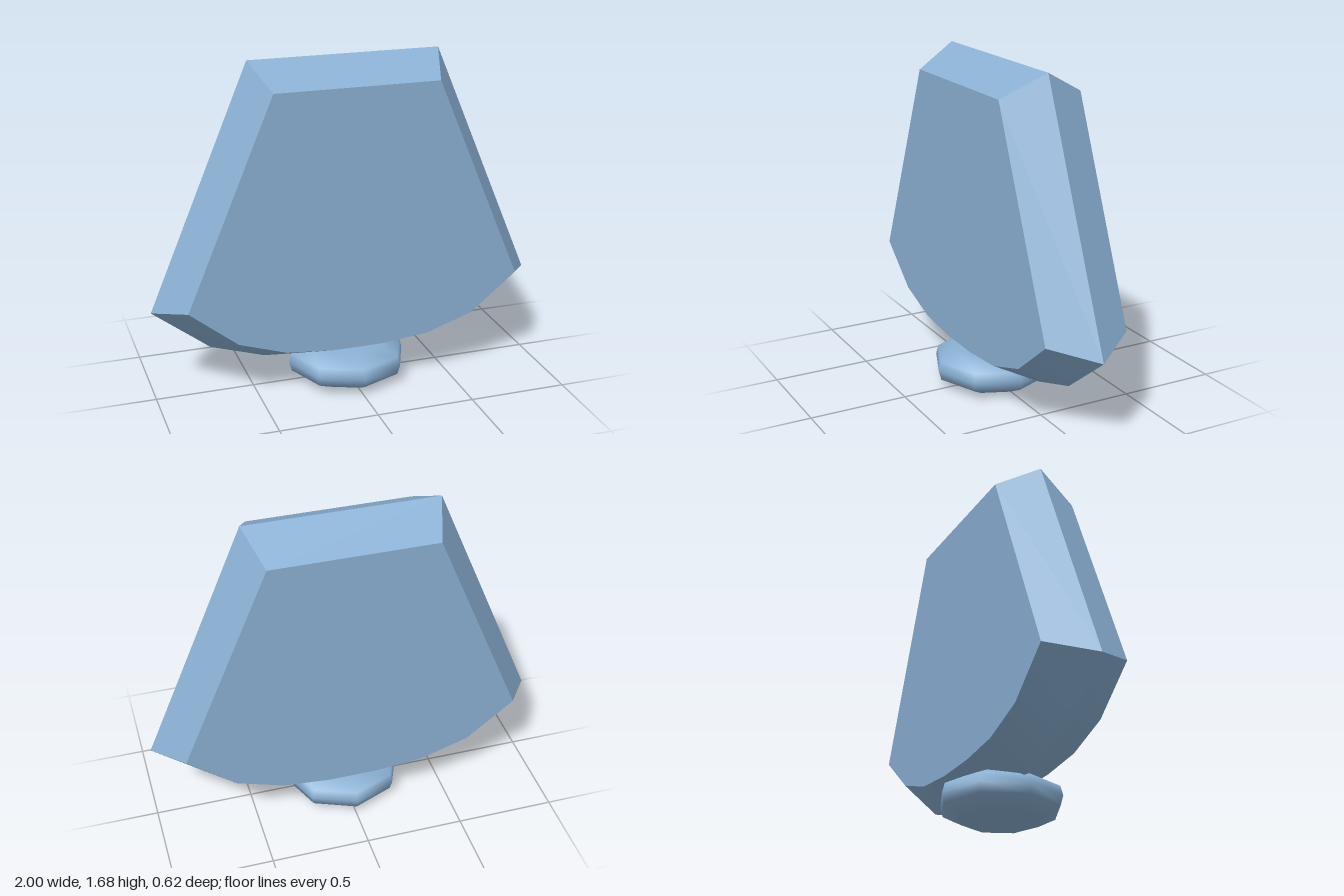
import * as THREE from 'three';
import { toCreasedNormals } from 'three/addons/utils/BufferGeometryUtils.js';

// Right half of an outline, top to bottom, mirrored into a full clockwise loop.
const mirrored = (half) => [...half, ...[...half].reverse().map(([x, y]) => [-x, y])];

const RIM = mirrored([[0.485, 1.685], [1, 0.46], [0.71, 0.235], [0.43, 0.145], [0.14, 0.128]]);
const FACE = mirrored([[0.415, 1.57], [0.855, 0.525], [0.613, 0.33], [0.37, 0.25], [0.122, 0.227]]);

// Skin neighbouring rings together and close both ends with fans.
function loft(rings) {
  const n = rings[0].length;
  const positions = [];
  const tri = (a, b, c) => positions.push(...a, ...b, ...c);
  for (let r = 0; r < rings.length - 1; r++) {
    const [p, q] = [rings[r], rings[r + 1]];
    for (let i = 0; i < n; i++) {
      const j = (i + 1) % n;
      tri(p[i], p[j], q[j]);
      tri(p[i], q[j], q[i]);
    }
  }
  const [front, back] = [rings[0], rings[rings.length - 1]];
  for (let i = 1; i < n - 1; i++) {
    tri(front[0], front[i + 1], front[i]);
    tri(back[0], back[i], back[i + 1]);
  }
  const geometry = new THREE.BufferGeometry();
  geometry.setAttribute('position', new THREE.Float32BufferAttribute(positions, 3));
  return toCreasedNormals(geometry, 0.6);
}

export function createModel() {
  const group = new THREE.Group();
  const blue = new THREE.MeshStandardMaterial({ color: 0x8ab0d3 });
  blue.name = 'soft blue';

  const add = (name, geometry) => {
    const mesh = new THREE.Mesh(geometry, blue);
    mesh.name = name;
    group.add(mesh);
  };

  // Flared slab: small front and back faces bevelled out to a central rim
  const ring = (outline, z) => outline.map(([x, y]) => [x, y, z]);
  add('body', loft([ring(FACE, 0.192), ring(RIM, -0.025), ring(FACE, -0.242)]));

  // Rounded eight-sided foot
  const profile = [[0, 0], [0.2, 0], [0.295, 0.05], [0.308, 0.097], [0.295, 0.145], [0.2, 0.193], [0, 0.193]];
  add('foot', new THREE.LatheGeometry(profile.map(([r, y]) => new THREE.Vector2(r, y)), 8));

  return group;
}
